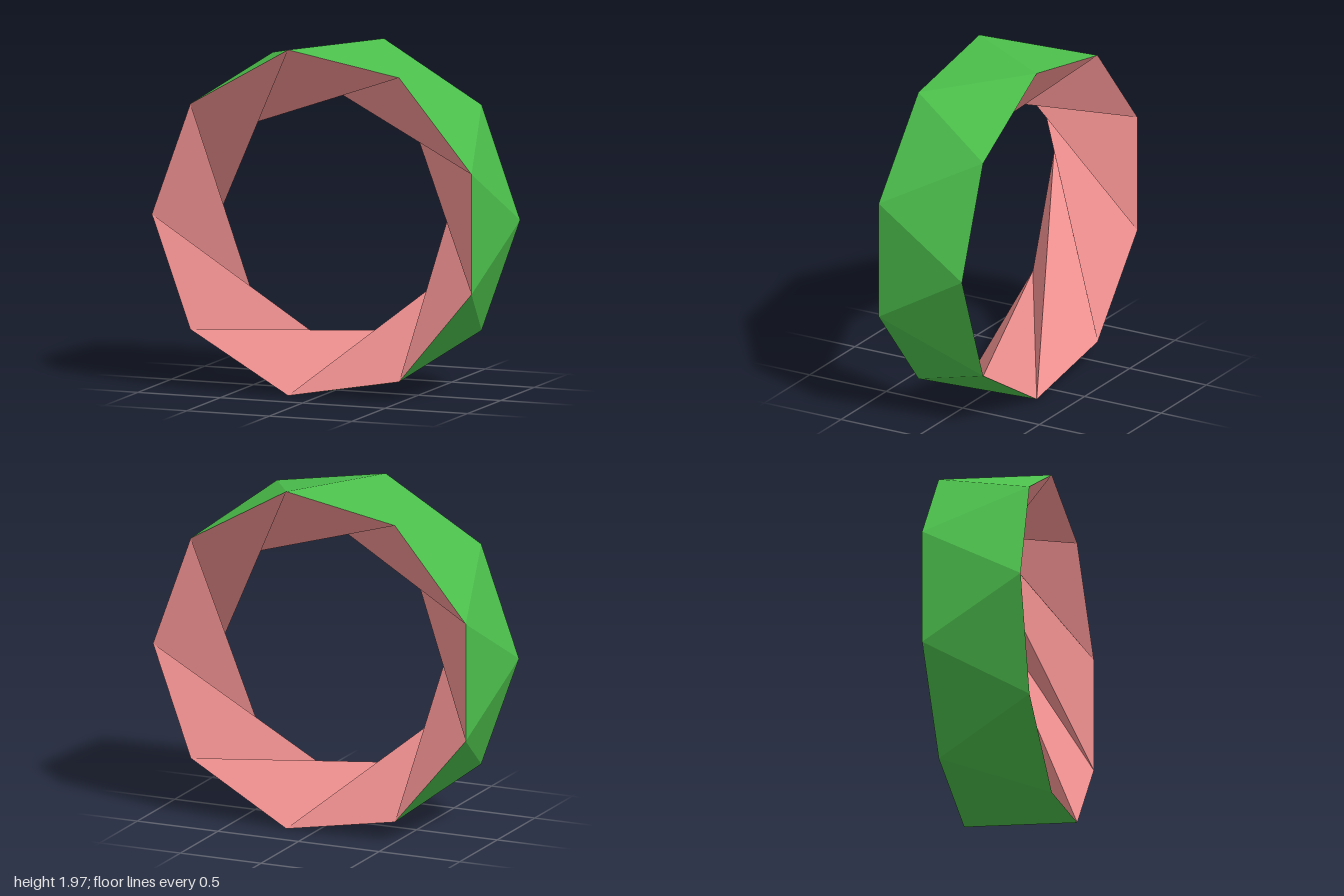
import * as THREE from 'three';

const SIDES = 9;
const STEP = (2 * Math.PI) / SIDES;
const HALF_DEPTH = 0.29;
const CENTRE_Y = Math.cos(STEP / 4); // lowest corners rest on y = 0

// Corner of the front rim (z > 0) or the back rim, which is turned by half a step
const corner = (k, z) => {
  const a = (k + 0.5) * STEP;
  return [Math.cos(a), CENTRE_Y + Math.sin(a), z];
};
const front = (k) => corner(k, HALF_DEPTH);
const back = (k) => corner(k + 0.5, -HALF_DEPTH);

// Repeat the triangles of one sector around the ring
function band(name, color, sector) {
  const points = [];
  for (let k = 0; k < SIDES; k++) points.push(...sector(k).flat());
  const geometry = new THREE.BufferGeometry();
  geometry.setAttribute('position', new THREE.Float32BufferAttribute(points, 3));
  geometry.computeVertexNormals();
  const mesh = new THREE.Mesh(geometry, new THREE.MeshStandardMaterial({ color, flatShading: true }));
  mesh.name = name;
  return mesh;
}

export function createModel() {
  const group = new THREE.Group();
  group.name = 'twistedRing';

  // Outer wall: antiprism band of upright and inverted triangles
  group.add(band('outerBand', 0x4cc04c, (k) => [
    front(k + 1), front(k), back(k),
    front(k), back(k - 1), back(k),
  ]));

  // Inner wall: the same corners joined with a twist of two further steps
  group.add(band('innerTwist', 0xf09090, (k) => [
    front(k), front(k + 1), back(k + 2),
    front(k + 1), back(k + 3), back(k + 2),
  ]));

  return group;
}
